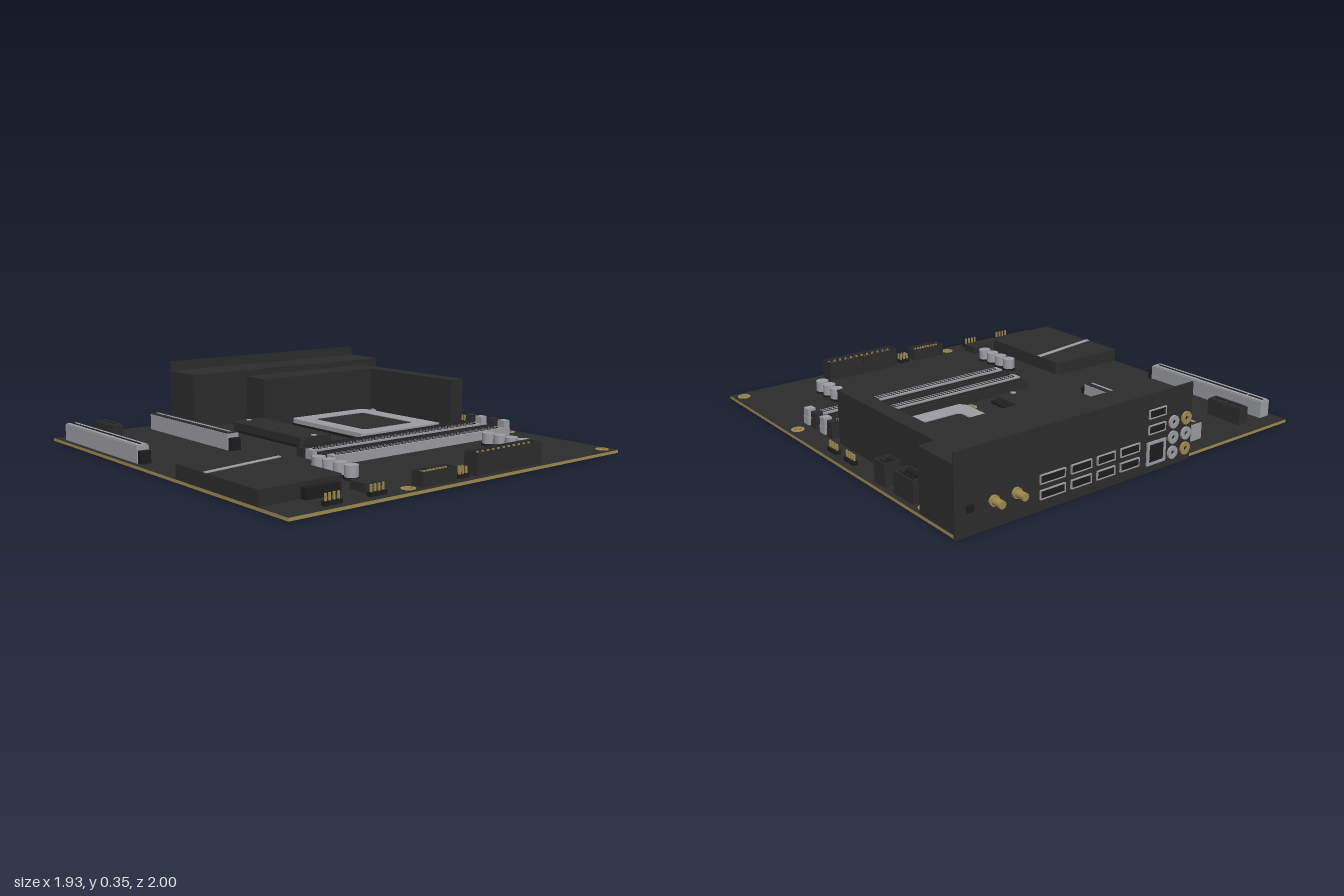
import * as THREE from 'three';

const mat = (name, color) => Object.assign(new THREE.MeshStandardMaterial({ color }), { name });

export function createModel() {
  const root = new THREE.Group();
  root.name = 'circuitBoard';
  const black = mat('boardBlack', 0x2c2c2c);
  const dark = mat('plasticDark', 0x1d1d1d);
  const silver = mat('silver', 0x9c9da2);
  const gold = mat('gold', 0xa08a50);
  const TOP = 0.022;

  const add = (name, geo, m, parent = root) => {
    const mesh = new THREE.Mesh(geo, m);
    mesh.name = name;
    parent.add(mesh);
    return mesh;
  };
  const group = (name) => {
    const g = new THREE.Group();
    g.name = name;
    root.add(g);
    return g;
  };
  // box from its limits on each axis
  const box = (name, x0, x1, y0, y1, z0, z1, m, parent) =>
    add(name, new THREE.BoxGeometry(x1 - x0, y1 - y0, z1 - z0)
      .translate((x0 + x1) / 2, (y0 + y1) / 2, (z0 + z1) / 2), m, parent);
  const rod = (name, r, x, y0, y1, z, m, parent, sides = 20) =>
    add(name, new THREE.CylinderGeometry(r, r, y1 - y0, sides).translate(x, (y0 + y1) / 2, z), m, parent);
  const poly = (pts) => new THREE.Shape(pts.map((p) => new THREE.Vector2(...p)));
  const rect = (x0, x1, z0, z1, c = 0) => poly(c === 0
    ? [[x0, z0], [x1, z0], [x1, z1], [x0, z1]]
    : [[x0 + c, z0], [x1 - c, z0], [x1, z0 + c], [x1, z1 - c], [x1 - c, z1], [x0 + c, z1], [x0, z1 - c], [x0, z0 + c]]);
  const circle = (x, z, r) => new THREE.Shape().absarc(x, z, r, 0, Math.PI * 2);
  // plan outline in x and z, raised from y0 to y1
  const slab = (name, shape, y0, y1, m, parent) =>
    add(name, new THREE.ExtrudeGeometry(shape, { depth: y1 - y0, bevelEnabled: false, curveSegments: 10 })
      .rotateX(Math.PI / 2).translate(0, y1, 0), m, parent);
  // thin rectangular outline lying on a top face
  const outline = (name, x0, x1, z0, z1, y, w, m, parent) => {
    const s = rect(x0, x1, z0, z1);
    s.holes.push(rect(x0 + w, x1 - w, z0 + w, z1 - w));
    slab(name, s, y, y + 0.002, m, parent);
  };

  // board with drilled, plated holes
  const holes = [[-0.335, -0.86], [0.915, -0.68], [-0.335, 0.37], [0.915, 0.37], [-0.335, 0.945], [0.915, 0.945],
    [0.11, -0.505], [0.725, -0.505], [0.11, 0.115], [0.725, 0.115]];
  const boardShape = rect(-0.97, 0.965, -0.94, 1);
  holes.forEach(([x, z]) => boardShape.holes.push(circle(x, z, 0.02)));
  slab('board', boardShape, 0.008, TOP, [black, gold]);
  holes.forEach(([x, z]) => {
    const ring = circle(x, z, 0.031);
    ring.holes.push(circle(x, z, 0.019));
    slab('holePlating', ring, 0.006, TOP + 0.003, gold);
  });

  // rear port cover and shield plate
  box('portCover', -0.295, 0.963, TOP, 0.305, -0.935, -0.71, black);
  box('portShield', -0.295, 0.965, 0, 0.355, -0.943, -0.935, black);

  // rear ports: thin silver rims around dark openings
  const ports = group('rearPorts');
  const port = (x0, x1, y0, y1, w = 0.005) => {
    const s = rect(x0, x1, y0, y1);
    s.holes.push(rect(x0 + w, x1 - w, y0 + w, y1 - w));
    add('portRim', new THREE.ExtrudeGeometry(s, { depth: 0.008, bevelEnabled: false })
      .translate(0, 0, -0.951), silver, ports);
    box('portOpening', x0 + w, x1 - w, y0 + w, y1 - w, -0.947, -0.942, dark, ports);
  };
  for (const [x0, x1] of [[0.43, 0.56], [0.29, 0.4], [0.16, 0.26], [0.02, 0.13]])
    for (const y of [0.05, 0.115]) port(x0, x1, y, y + 0.04, 0.004);
  for (const y of [0.175, 0.245]) port(-0.13, -0.03, y, y + 0.04, 0.004);
  port(-0.135, -0.025, 0.035, 0.14, 0.012);
  [0.06, 0.13, 0.2].forEach((y, i) => {
    for (const [x, m] of [[-0.18, silver], [-0.258, i === 1 ? silver : gold]]) {
      const jack = circle(x, y, 0.029);
      jack.holes.push(circle(x, y, 0.01));
      add('audioJack', new THREE.ExtrudeGeometry(jack, { depth: 0.01, bevelEnabled: false })
        .translate(0, 0, -0.952), m, ports);
      add('audioJackHole', new THREE.CircleGeometry(0.012, 12).rotateY(Math.PI).translate(x, y, -0.945), dark, ports);
    }
  });
  for (const x of [0.675, 0.785]) {
    for (const [r, z0, z1] of [[0.017, -1, -0.94], [0.023, -0.955, -0.94]])
      add('antennaPost', new THREE.CylinderGeometry(r, r, z1 - z0, 16).rotateX(Math.PI / 2)
        .translate(x, 0.115, (z0 + z1) / 2), gold, ports);
  }
  box('resetButton', 0.88, 0.91, 0.1, 0.13, -0.952, -0.942, dark, ports);

  // L-shaped power heatsink
  slab('powerHeatsink', poly([[0.025, -0.69], [0.845, -0.69], [0.845, 0.105], [0.765, 0.105], [0.765, -0.53], [0.025, -0.53]]),
    TOP, 0.275, black);

  // processor socket
  const socket = group('processorSocket');
  box('socketBase', 0.17, 0.67, TOP, 0.04, -0.48, 0.1, dark, socket);
  const frame = rect(0.165, 0.675, -0.49, 0.105, 0.025);
  frame.holes.push(rect(0.25, 0.588, -0.395, 0.01, 0.015));
  slab('socketFrame', frame, 0.038, 0.06, silver, socket);
  slab('socketCover', rect(0.256, 0.582, -0.389, 0.004, 0.012), 0.04, 0.058, black, socket);
  const lever = new THREE.CatmullRomCurve3([[0.688, 0.1], [0.688, -0.1], [0.688, -0.39], [0.695, -0.42], [0.72, -0.44], [0.725, -0.475]]
    .map(([x, z]) => new THREE.Vector3(x, 0.05, z)), false, 'centripetal');
  add('socketLever', new THREE.TubeGeometry(lever, 24, 0.008, 8), silver, socket);

  // storage drive heatsink
  const drive = group('driveHeatsink');
  slab('driveCover', rect(-0.182, 0, -0.525, 0.058, 0.012), 0.035, 0.075, black, drive);
  box('driveBase', -0.175, -0.005, TOP, 0.035, -0.515, 0.1, dark, drive);
  for (const z of [-0.505, 0.035]) rod('driveScrew', 0.014, -0.092, 0.07, 0.079, z, silver, drive, 12);

  // memory slots
  [[0.19, black], [0.257, silver], [0.34, black], [0.41, silver]].forEach(([z, m]) => {
    const g = group('memorySlot');
    box('slotBody', -0.295, 0.8, TOP, 0.066, z - 0.025, z + 0.025, m, g);
    outline('slotGroove', -0.27, 0.78, z - 0.012, z + 0.012, 0.066, 0.004, dark, g);
    box('slotFoot', 0.8, 0.85, TOP, 0.06, z - 0.023, z + 0.023, m, g);
    box('slotLatch', 0.808, 0.848, 0.06, 0.1, z - 0.021, z + 0.021, m, g);
  });

  // expansion slots
  const expansion = (x0, x1, z1, body, top, line) => {
    const g = group('expansionSlot');
    box('slotBody', x0, x1, TOP, 0.1, -0.853, z1, body, g);
    box('slotTop', x0 + 0.004, x1 - 0.004, 0.1, 0.105, -0.849, z1 - 0.004, top, g);
    const c = (x0 + x1) / 2;
    for (const [a, b] of [[-0.84, -0.755], [-0.745, z1 - 0.02]])
      box('slotGroove', c - 0.006, c + 0.006, 0.105, 0.107, a, b, line, g);
    return g;
  };
  const slots = [expansion(-0.945, -0.885, -0.14, silver, silver, dark),
    expansion(-0.47, -0.406, -0.14, silver, black, silver)];
  expansion(-0.79, -0.732, -0.66, black, black, dark);
  [-0.915, -0.438].forEach((x, i) => box('slotLatch', x - 0.025, x + 0.025, TOP, 0.08, -0.14, -0.112, dark, slots[i]));

  // chipset heatsink with slanted silver stripe
  const chipset = group('chipsetHeatsink');
  slab('chipsetCover', poly([[-0.968, 0.225], [-0.57, 0.225], [-0.55, 0.245], [-0.55, 0.79], [-0.57, 0.81], [-0.968, 0.81]]),
    TOP, 0.088, black, chipset);
  slab('chipsetStripe', poly([[-0.968, 0.435], [-0.55, 0.37], [-0.55, 0.395], [-0.968, 0.46]]), 0.088, 0.091, silver, chipset);
  box('driveConnector', -0.77, -0.6, TOP, 0.07, 0.81, 0.845, dark);

  // capacitors
  for (const [x, z0] of [[-0.405, 0.465], [0.57, 0.545]])
    for (let i = 0; i < 4; i++) {
      const z = z0 + i * 0.0715, g = group('capacitor');
      rod('capacitorBase', 0.034, x, TOP, 0.034, z, dark, g, 8);
      rod('capacitorCan', 0.031, x, 0.034, 0.085, z, silver, g);
    }

  // pin connectors: open shell with rows of pins
  const connector = (name, x0, x1, z0, z1, h, nx, nz, pin) => {
    const g = group(name), w = 0.007;
    const s = rect(x0, x1, z0, z1);
    s.holes.push(rect(x0 + w, x1 - w, z0 + w, z1 - w));
    slab('connectorShell', s, TOP, h, black, g);
    box('connectorFloor', x0 + w, x1 - w, TOP, h - 0.02, z0 + w, z1 - w, dark, g);
    const dx = (x1 - x0 - 2 * w) / nx, dz = (z1 - z0 - 2 * w) / nz;
    for (let i = 0; i < nx; i++)
      for (let j = 0; j < nz; j++) {
        const x = x0 + w + dx * (i + 0.5), z = z0 + w + dz * (j + 0.5);
        box('pin', x - 0.004, x + 0.004, h - 0.02, h - 0.006, z - 0.004, z + 0.004, pin, g);
      }
  };
  connector('mainPowerConnector', 0.04, 0.45, 0.89, 0.965, 0.12, 12, 2, gold);
  box('powerClip', 0.225, 0.255, 0.07, 0.12, 0.875, 0.89, black);
  connector('frontPortHeader', -0.28, -0.09, 0.905, 0.975, 0.085, 10, 2, gold);
  connector('processorPower', 0.865, 0.94, -0.63, -0.49, 0.125, 2, 4, dark);
  connector('processorPower', 0.865, 0.94, -0.425, -0.345, 0.125, 2, 2, dark);

  // small open headers with bare pins
  const header = (x0, x1, z0, z1, nx, nz) => {
    const g = group('pinHeader');
    box('headerBase', x0, x1, TOP, 0.04, z0, z1, dark, g);
    for (let i = 0; i < nx; i++)
      for (let j = 0; j < nz; j++) {
        const x = x0 + (x1 - x0) * (i + 0.5) / nx, z = z0 + (z1 - z0) * (j + 0.5) / nz;
        box('pin', x - 0.004, x + 0.004, 0.04, 0.07, z - 0.004, z + 0.004, gold, g);
      }
  };
  header(-0.77, -0.685, 0.935, 0.96, 4, 1);
  header(-0.545, -0.46, 0.935, 0.96, 4, 1);
  header(-0.058, 0, 0.915, 0.96, 3, 2);
  header(0.905, 0.93, -0.155, -0.075, 1, 4);
  header(0.905, 0.93, -0.01, 0.07, 1, 4);

  // controller chips
  for (const [x0, x1, z0, z1, h] of [[-0.52, -0.425, 0.805, 0.895, 0.06], [-0.292, -0.237, -0.615, -0.56, 0.035], [0.605, 0.64, 0.505, 0.54, 0.035]])
    box('chip', x0, x1, TOP, h, z0, z1, black);

  return root;
}
